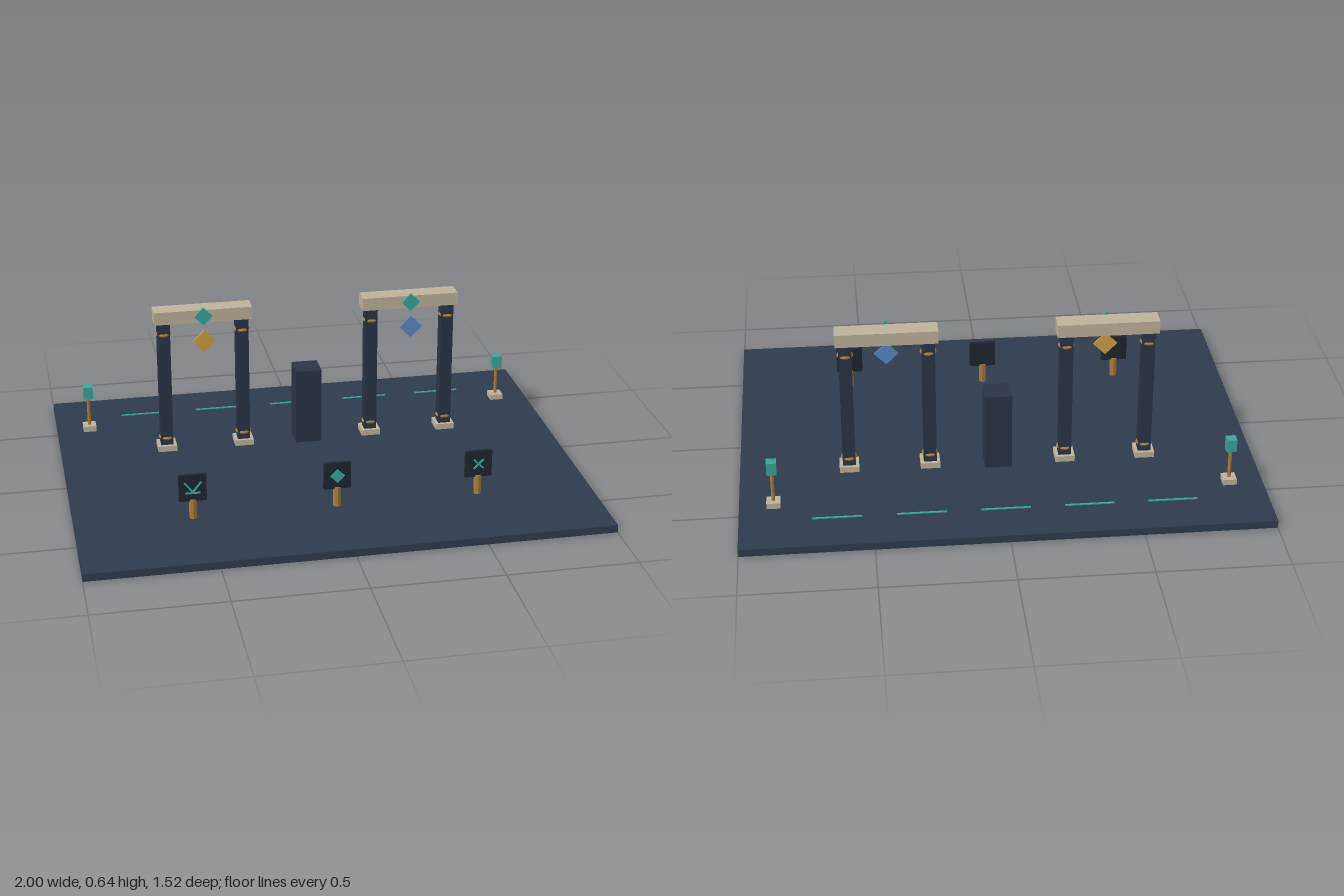
import * as THREE from 'three';

const mat = (color) => new THREE.MeshStandardMaterial({ color, flatShading: true });
const M = {
  floor: mat(0x2f3b4c), column: mat(0x2b3546), stone: mat(0xbdb29c), gold: mat(0xa87d3c),
  teal: mat(0x3aa69b), panel: mat(0x1f2631), amber: mat(0xcf9f45), blue: mat(0x5a8ac6),
};
const FLOOR = 0.03;

function add(parent, name, geometry, material, x, y, z) {
  const mesh = new THREE.Mesh(geometry, material);
  mesh.name = name;
  mesh.position.set(x, y, z);
  parent.add(mesh);
  return mesh;
}

const box = (parent, name, material, w, h, d, x, y, z) =>
  add(parent, name, new THREE.BoxGeometry(w, h, d), material, x, y, z);

// Thin square standing on its corner; r is half its diagonal
function diamond(parent, name, material, r, x, y, z) {
  const side = r * Math.SQRT2;
  box(parent, name, material, side, side, 0.007, x, y, z).rotation.z = Math.PI / 4;
}

// Thin bar between two points of a sign face
function stroke(parent, x1, y1, x2, y2, z) {
  const bar = box(parent, 'signStroke', M.teal, Math.hypot(x2 - x1, y2 - y1), 0.006, 0.005,
    (x1 + x2) / 2, (y1 + y2) / 2, z);
  bar.rotation.z = Math.atan2(y2 - y1, x2 - x1);
}

function group(parent, name, x, z) {
  const g = new THREE.Group();
  g.name = name;
  g.position.set(x, 0, z);
  parent.add(g);
  return g;
}

// Two banded columns under a beam, with a crest and a hanging diamond
function gateway(parent, x, gemMaterial) {
  const g = group(parent, 'gateway', x, -0.235);
  for (const s of [-1, 1]) {
    const cx = s * 0.157;
    box(g, 'columnBase', M.stone, 0.076, 0.024, 0.076, cx, FLOOR + 0.012, 0);
    box(g, 'column', M.column, 0.05, 0.55, 0.05, cx, FLOOR + 0.275, 0);
    for (const y of [0.083, 0.53]) {
      const band = add(g, 'columnBand', new THREE.TorusGeometry(0.025, 0.007, 6, 20), M.gold, cx, y, 0);
      band.rotation.x = Math.PI / 2;
    }
  }
  box(g, 'beam', M.stone, 0.39, 0.052, 0.076, 0, 0.606, 0);
  diamond(g, 'crest', M.teal, 0.037, 0, 0.606, 0.041);
  diamond(g, 'hangingDiamond', gemMaterial, 0.046, 0, 0.503, 0.045);
}

// Post with a square panel; returns the group so that an icon can be added
function sign(parent, x) {
  const g = group(parent, 'sign', x, 0.4);
  add(g, 'signPost', new THREE.CylinderGeometry(0.015, 0.015, 0.08, 8), M.gold, 0, FLOOR + 0.04, -0.002);
  box(g, 'signPanel', M.panel, 0.105, 0.107, 0.015, 0, 0.157, -0.001);
  return g;
}

function lamp(parent, x) {
  const g = group(parent, 'lamp', x, -0.475);
  box(g, 'lampBase', M.stone, 0.053, 0.023, 0.053, 0, FLOOR + 0.0115, 0);
  add(g, 'lampPole', new THREE.CylinderGeometry(0.007, 0.007, 0.13, 8), M.gold, 0, 0.115, 0);
  box(g, 'lampHead', M.teal, 0.038, 0.052, 0.038, 0, 0.199, 0);
}

export function createModel() {
  const model = new THREE.Group();
  model.name = 'courtyard';

  box(model, 'floor', M.floor, 2, FLOOR, 1.524, 0, FLOOR / 2, 0);
  box(model, 'centrePillar', M.column, 0.105, 0.314, 0.105, 0, FLOOR + 0.157, -0.235);

  gateway(model, -0.42, M.amber);
  gateway(model, 0.42, M.blue);
  for (const s of [-1, 1]) lamp(model, s * 0.87);

  // Dashed line along the back of the floor
  for (let i = -2; i <= 2; i++) {
    box(model, 'floorDash', M.teal, 0.187, 0.004, 0.008, i * 0.317, FLOOR + 0.002, -0.583);
  }

  // Signs with a chevron over a line, a diamond and a cross
  const zIcon = 0.009;
  const chevron = sign(model, -0.553);
  stroke(chevron, -0.032, 0.182, 0, 0.142, zIcon);
  stroke(chevron, 0.032, 0.182, 0, 0.142, zIcon);
  stroke(chevron, -0.028, 0.138, 0.028, 0.138, zIcon);

  diamond(sign(model, 0), 'signDiamond', M.teal, 0.028, 0, 0.158, zIcon);

  const cross = sign(model, 0.553);
  for (const s of [-1, 1]) stroke(cross, -0.019, 0.158 - s * 0.019, 0.019, 0.158 + s * 0.019, zIcon);

  return model;
}
